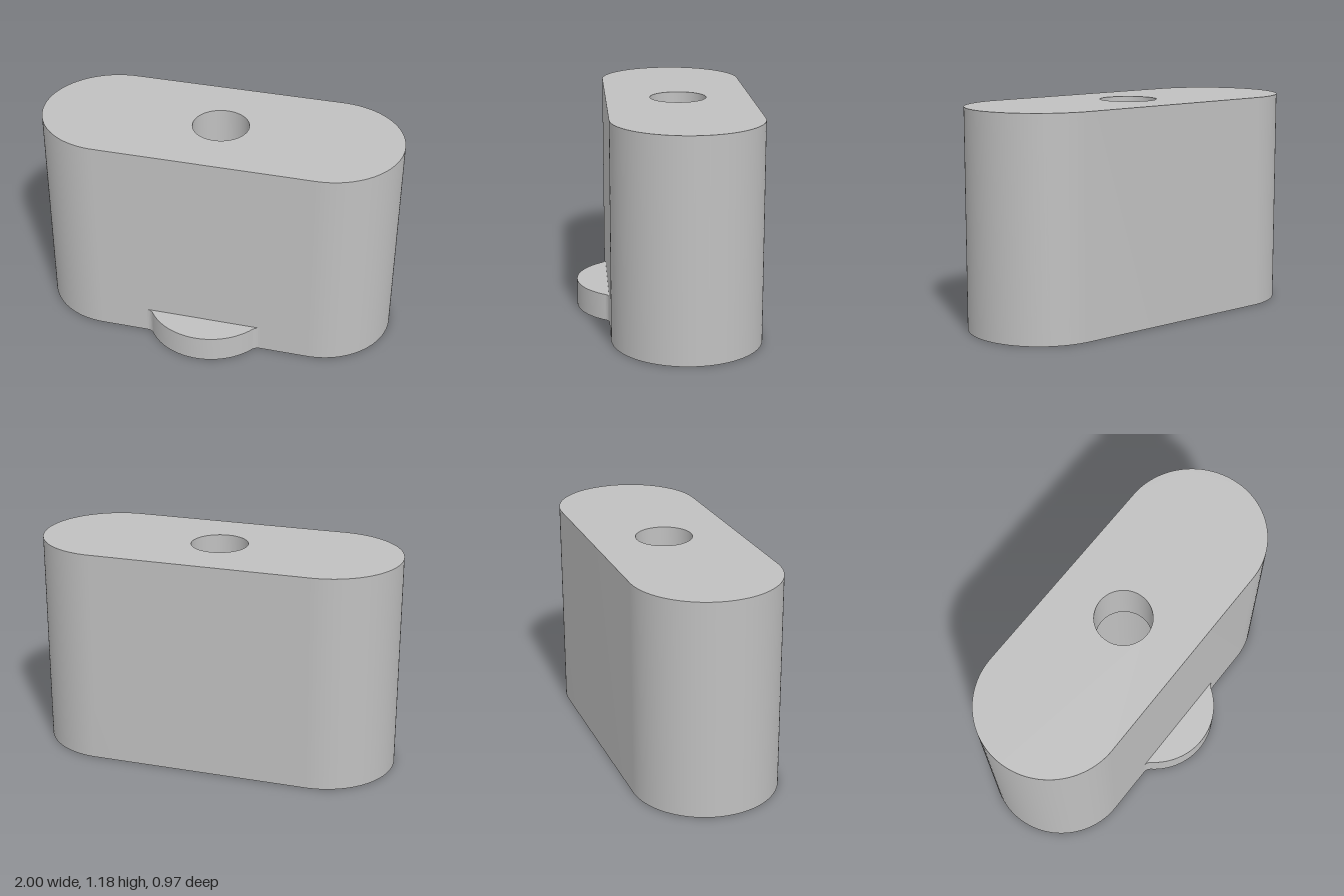
import * as THREE from 'three';
import { toCreasedNormals } from 'three/addons/utils/BufferGeometryUtils.js';

const HEIGHT = 1.185, RADIUS = 0.4, HALF_STRAIGHT = 0.6, BODY_Z = -0.086;
const HOLE_R = 0.155, BORE_R = 0.297, SHOULDER_Y = 0.89;
const TAB_H = 0.148;

// Rounded slot outline of the body, with an optional round hole
function slotShape(holeRadius) {
  const s = new THREE.Shape();
  s.absarc(HALF_STRAIGHT, 0, RADIUS, -Math.PI / 2, Math.PI / 2, false);
  s.absarc(-HALF_STRAIGHT, 0, RADIUS, Math.PI / 2, Math.PI * 1.5, false);
  s.closePath();
  if (holeRadius) {
    const hole = new THREE.Path();
    hole.absarc(0, 0, holeRadius, 0, Math.PI * 2, true);
    s.holes.push(hole);
  }
  return s;
}

// Upright extrusion of a plan shape (shape y becomes z), standing on y = 0
function extrudeUp(shape, height, curveSegments) {
  const g = new THREE.ExtrudeGeometry(shape, { depth: height, bevelEnabled: false, curveSegments });
  return g.rotateX(Math.PI / 2).translate(0, height, 0);
}

// Only the side walls of an upright extrusion
function wallsOnly(shape, height) {
  const full = extrudeUp(shape, height, 32);
  const { start, count } = full.groups[1];
  const g = new THREE.BufferGeometry();
  const pos = full.attributes.position.array.slice(start * 3, (start + count) * 3);
  g.setAttribute('position', new THREE.BufferAttribute(pos, 3));
  return toCreasedNormals(g, 0.6);
}

export function createModel() {
  const model = new THREE.Group();
  model.name = 'slottedSpacer';
  const grey = new THREE.MeshStandardMaterial({ color: 0xc0c0c0 });
  grey.name = 'light grey';

  const add = (name, geometry, parent) => {
    const mesh = new THREE.Mesh(geometry, grey);
    mesh.name = name;
    parent.add(mesh);
  };

  // Body: outer wall, end faces and stepped bore
  const body = new THREE.Group();
  body.name = 'body';
  body.position.z = BODY_Z;
  model.add(body);
  add('outerWall', wallsOnly(slotShape(), HEIGHT), body);
  add('topFace', new THREE.ShapeGeometry(slotShape(HOLE_R), 32)
    .rotateX(-Math.PI / 2).translate(0, HEIGHT, 0), body);
  add('bottomFace', new THREE.ShapeGeometry(slotShape(BORE_R), 32).rotateX(Math.PI / 2), body);
  const boreProfile = [[HOLE_R, HEIGHT], [HOLE_R, SHOULDER_Y], [BORE_R, SHOULDER_Y], [BORE_R, 0]]
    .map(([r, y]) => new THREE.Vector2(r, y));
  add('steppedBore', toCreasedNormals(new THREE.LatheGeometry(boreProfile, 64), 0.6), body);

  // Front tab: round lip blended into the body by small concave fillets
  const face = BODY_Z + RADIUS, tabR = 0.354, tabZ = 0.131, fillet = 0.05;
  const filletZ = face + fillet;
  const filletX = Math.sqrt((tabR + fillet) ** 2 - (filletZ - tabZ) ** 2);
  const a = Math.atan2(filletZ - tabZ, filletX);
  const tab = new THREE.Shape();
  tab.moveTo(-filletX, face);
  tab.lineTo(filletX, face);
  tab.absarc(filletX, filletZ, fillet, -Math.PI / 2, a - Math.PI, true);
  tab.absarc(0, tabZ, tabR, a, Math.PI - a, false);
  tab.absarc(-filletX, filletZ, fillet, -a, -Math.PI / 2, true);
  add('frontTab', toCreasedNormals(extrudeUp(tab, TAB_H, 24), 0.6), model);

  return model;
}
